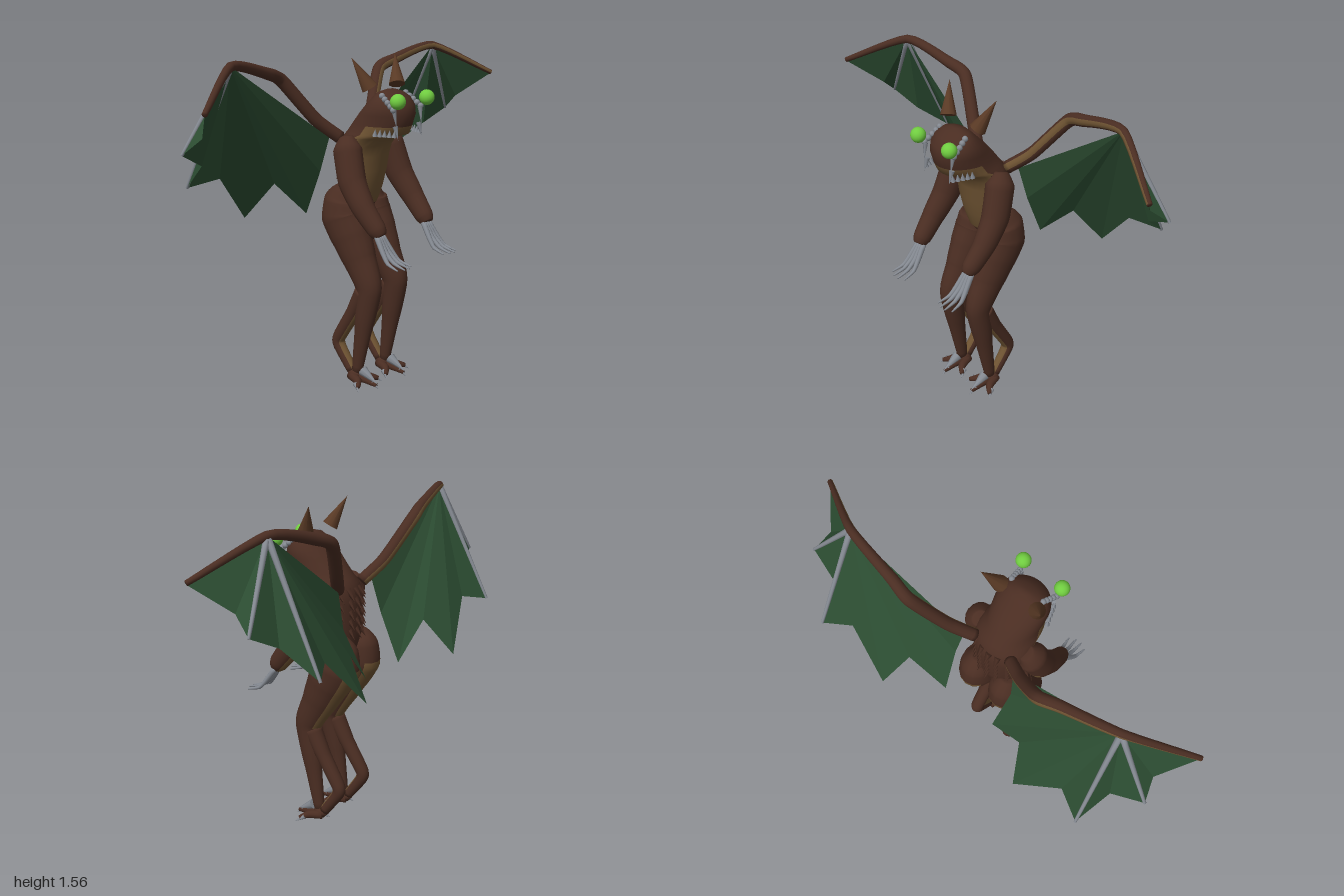
import * as THREE from 'three';

const mat = (name, color, side = THREE.FrontSide) => {
  const m = new THREE.MeshStandardMaterial({ color, side });
  m.name = name;
  return m;
};
const V = (x, y, z) => new THREE.Vector3(x, y, z);

export function createModel() {
  const hide = mat('brown hide', 0x4a2d22);
  const tan = mat('tan underside', 0x6e5332);
  const horn = mat('horn brown', 0x5a3a25);
  const claw = mat('grey claw', 0x858a92);
  const green = mat('green membrane', 0x2c4d32, THREE.DoubleSide);
  const eye = mat('bright green eye', 0x70cc40);
  const root = new THREE.Group();
  root.name = 'wingedCreature';

  const add = (name, geo, material, parent = root) => {
    const m = new THREE.Mesh(geo, material);
    m.name = name;
    parent.add(m);
    return m;
  };

  // Skin a list of rings, closing both ends; isTan(ring, angle) picks the second colour
  function loft(rings, isTan) {
    const n = rings[0].length, pos = [], parts = [[], []];
    rings.forEach(r => r.forEach(p => pos.push(p.x, p.y, p.z)));
    for (let i = 0; i < rings.length - 1; i++) for (let j = 0; j < n; j++) {
      const k = (j + 1) % n, a = i * n + j, b = i * n + k;
      parts[isTan(i, (j + 0.5) / n * Math.PI * 2) ? 1 : 0].push(a, b, b + n, a, b + n, a + n);
    }
    [0, rings.length - 1].forEach(i => {
      const c = rings[i].reduce((s, p) => s.add(p), V(0, 0, 0)).divideScalar(n);
      const ci = pos.length / 3;
      pos.push(c.x, c.y, c.z);
      for (let j = 0; j < n; j++) {
        const a = i * n + j, b = i * n + (j + 1) % n;
        parts[0].push(...(i ? [a, b, ci] : [b, a, ci]));
      }
    });
    const g = new THREE.BufferGeometry();
    g.setAttribute('position', new THREE.Float32BufferAttribute(pos, 3));
    g.setIndex([...parts[0], ...parts[1]]);
    g.addGroup(0, parts[0].length, 0);
    g.addGroup(parts[0].length, parts[1].length, 1);
    g.computeVertexNormals();
    return g;
  }

  // Tapered limb along stations [x, y, z, radius]; angle 0 is its back or underside
  function limb(pts, { ref = V(0, 0, 1), flat = 1, isTan = () => false, sides = 16, steps = 6 } = {}) {
    const curve = new THREE.CatmullRomCurve3(pts.map(p => V(p[0], p[1], p[2])), false, 'catmullrom', 0.3);
    const total = (pts.length - 1) * steps, rings = [];
    for (let i = 0; i <= total; i++) {
      const t = i / total, f = t * (pts.length - 1), k = Math.min(Math.floor(f), pts.length - 2);
      const r = THREE.MathUtils.lerp(pts[k][3], pts[k + 1][3], f - k);
      const c = curve.getPoint(t), tg = curve.getTangent(t);
      const u = tg.clone().cross(ref).normalize(), v = tg.clone().cross(u);
      rings.push(Array.from({ length: sides }, (_, j) => {
        const a = j / sides * Math.PI * 2;
        return c.clone().addScaledVector(u, r * Math.cos(a)).addScaledVector(v, r * flat * Math.sin(a));
      }));
    }
    return loft(rings, (i, a) => isTan(i / total, a));
  }

  // Cone with its base at a and its point at b
  function spike(name, a, b, r, material, parent = root, sides = 8) {
    const d = b.clone().sub(a), len = d.length();
    const m = add(name, new THREE.ConeGeometry(r, len, sides), material, parent);
    m.position.copy(a).addScaledVector(d, 0.5);
    m.quaternion.setFromUnitVectors(V(0, 1, 0), d.normalize());
    return m;
  }

  // Torso, neck and head: [y, back x, front x, half width]
  const body = [
    [0.83, -0.05, 0.02, 0.03], [0.87, -0.09, 0.05, 0.09], [0.95, -0.1, 0.075, 0.115], [1.03, -0.1, 0.095, 0.125],
    [1.1, -0.1, 0.105, 0.135], [1.15, -0.095, 0.12, 0.14], [1.19, -0.08, 0.165, 0.135], [1.21, -0.065, 0.235, 0.13],
    [1.25, -0.035, 0.255, 0.12], [1.3, 0.01, 0.268, 0.125], [1.34, 0.05, 0.26, 0.12], [1.375, 0.085, 0.235, 0.1],
    [1.398, 0.11, 0.2, 0.07], [1.41, 0.14, 0.17, 0.025],
  ];
  const bodyRings = body.map(([y, x0, x1, w]) => Array.from({ length: 28 }, (_, j) => {
    const a = j / 28 * Math.PI * 2;
    return V((x0 + x1) / 2 + (x1 - x0) / 2 * Math.cos(a), y, -w * Math.sin(a));
  }));
  add('torsoAndHead', loft(bodyRings, (i, a) => i > 0 && i < 8 && Math.cos(a) > (i > 5 ? 0.1 : 0.3)), [hide, tan]);

  // Ragged spikes down the back and round the waist
  for (let row = 0; row < 5; row++) for (let k = -2; k <= 2; k++) {
    const y = 0.97 + row * 0.045, z = k * 0.042;
    const x = -0.095 + k * k * 0.009;
    spike('backSpike', V(x + 0.01, y + 0.02, z), V(x - 0.032, y - 0.035, z * 1.1), 0.017, hide, root, 5);
  }

  for (const s of [1, -1]) {
    const half = new THREE.Group();
    half.name = s > 0 ? 'rightHalf' : 'leftHalf';
    root.add(half);
    const P = (x, y, z) => V(x, y, z * s);
    const M = list => list.map(([x, y, z, r]) => [x, y, z * s, r]);
    const under = (t, a) => Math.cos(a) > 0.75;

    // Arm and curved fingers
    add('arm', limb(M([[0.01, 1.19, 0.13, 0.035], [0.03, 1.14, 0.15, 0.07], [0.075, 1, 0.17, 0.068],
      [0.15, 0.89, 0.18, 0.056], [0.225, 0.8, 0.175, 0.045], [0.243, 0.775, 0.172, 0.03]]),
    { isTan: (t, a) => t > 0.3 && under(t, a), flat: 0.88 }), [hide, tan], half);
    for (let k = 0; k < 4; k++) {
      const d = k - 1.5, reach = 1 - Math.abs(d) * 0.04;
      add('finger', limb(M([[0.235, 0.775, 0.172 + d * 0.012, 0.014], [0.28, 0.71, 0.172 + d * 0.02, 0.012],
        [0.335 * reach, 0.67, 0.172 + d * 0.026, 0.009], [0.4 * reach, 0.652, 0.172 + d * 0.032, 0.003]]),
      { sides: 8, steps: 3 }), claw, half);
    }

    // Leg: thigh and shin, with a bent rear strut
    add('leg', limb(M([[-0.035, 0.945, 0.085, 0.05], [-0.05, 0.89, 0.085, 0.1], [-0.045, 0.81, 0.088, 0.118],
      [0, 0.72, 0.09, 0.107], [0.05, 0.62, 0.092, 0.088], [0.112, 0.49, 0.097, 0.066],
      [0.085, 0.3, 0.102, 0.048], [0.045, 0.06, 0.105, 0.026]]),
    { flat: 0.8, isTan: (t, a) => t > 0.25 && t < 0.7 && under(t, a) }), [hide, tan], half);
    add('rearShin', limb(M([[0.085, 0.47, 0.1, 0.045], [0.02, 0.35, 0.102, 0.036], [-0.066, 0.21, 0.105, 0.032],
      [-0.062, 0.165, 0.105, 0.03], [0.015, 0.06, 0.105, 0.025]]),
    { isTan: (t, a) => Math.cos(a) < -0.6 }), [hide, tan], half);

    // Foot with splayed toes and claws
    const ankle = add('ankle', new THREE.SphereGeometry(0.036, 14, 10), hide, half);
    ankle.position.copy(P(0.035, 0.048, 0.105));
    ankle.scale.set(1.1, 0.7, 0.9);
    for (const k of [-1, 0, 1]) {
      const x = 0.165 - Math.abs(k) * 0.05, z = 0.105 + k * 0.075;
      const toe = add('toe', limb(M([[0.02, 0.04, 0.105 + k * 0.015, 0.022], [0.08, 0.035, 0.105 + k * 0.038, 0.02],
        [x, 0.022, z, 0.01]]), { sides: 10, steps: 3 }), tan, half);
      toe.material = hide;
      spike('toeClaw', P(x - 0.025, 0.03, z - k * 0.01), P(x + 0.017, 0.003, z + k * 0.014), 0.012, claw, half);
    }
    spike('instepClaw', P(0.08, 0.075, 0.105), P(0.175, 0.025, 0.105), 0.026, claw, half);
    spike('heelClaw', P(0.02, 0.04, 0.105), P(-0.018, 0.03, 0.105), 0.013, claw, half);

    // Wing bone
    const wrist = [-0.13, 1.545, 0.7];
    add('wingBone', limb(M([[-0.06, 1.18, 0.1, 0.03], [-0.12, 1.27, 0.2, 0.03], [-0.19, 1.45, 0.34, 0.03],
      [-0.175, 1.49, 0.44, 0.027], [...wrist, 0.02], [0.035, 1.395, 0.995, 0.012]]),
    { ref: V(1, 0, 0), sides: 12, isTan: (t, a) => Math.sin(a) * s > 0.85 }), [hide, tan], half);

    // Wing struts
    const tipA = [-0.2, 1.195, 0.92], tipB = [-0.4, 1, 0.73];
    for (const tip of [tipA, tipB]) {
      add('wingStrut', limb(M([[...wrist, 0.016], [...tip, 0.007]]), { ref: V(1, 0, 0), sides: 8 }), claw, half);
    }

    // Scalloped membrane fanning out from the wrist
    const rim = [[0.035, 1.39, 0.995], [-0.11, 1.27, 0.885], tipA, [-0.24, 1.125, 0.78], tipB, [-0.33, 1.03, 0.6],
      [-0.4, 0.8, 0.39], [-0.27, 0.97, 0.32], [-0.24, 0.8, 0.14], [-0.13, 1.02, 0.16], [-0.09, 1.18, 0.14]];
    const tri = [];
    for (let i = 0; i < rim.length - 1; i++) {
      for (const [x, y, z] of [wrist, rim[i], rim[i + 1]]) tri.push(x, y, z * s);
    }
    const web = new THREE.BufferGeometry();
    web.setAttribute('position', new THREE.Float32BufferAttribute(tri, 3));
    web.computeVertexNormals();
    add('wingMembrane', web, green, half);

    // Horn and eye
    spike('horn', P(0.115, 1.42, 0.098), P(0.057, 1.555, 0.155), 0.038, horn, half, 10);
    add('eye', new THREE.SphereGeometry(0.035, 20, 14), eye, half).position.copy(P(0.28, 1.373, 0.105));

    // Brow studs, jaw teeth and front fang
    for (let k = 0; k < 5; k++) {
      const f = k / 4;
      const stud = add('browStud', new THREE.SphereGeometry(0.014, 8, 6), claw, half);
      stud.position.copy(P(0.175 + f * 0.075, 1.388 - f * 0.055, 0.085 + f * 0.015));
      spike('jawTooth', P(0.165 + f * 0.085, 1.212, 0.122 - f * 0.03), P(0.17 + f * 0.085, 1.245, 0.124 - f * 0.03), 0.012, claw, half, 6);
    }
    spike('cheekFang', P(0.25, 1.33, 0.095), P(0.262, 1.255, 0.09), 0.012, claw, half, 6);
    spike('frontFang', P(0.25, 1.26, 0.085), P(0.268, 1.2, 0.085), 0.013, claw, half, 6);
  }
  return root;
}
